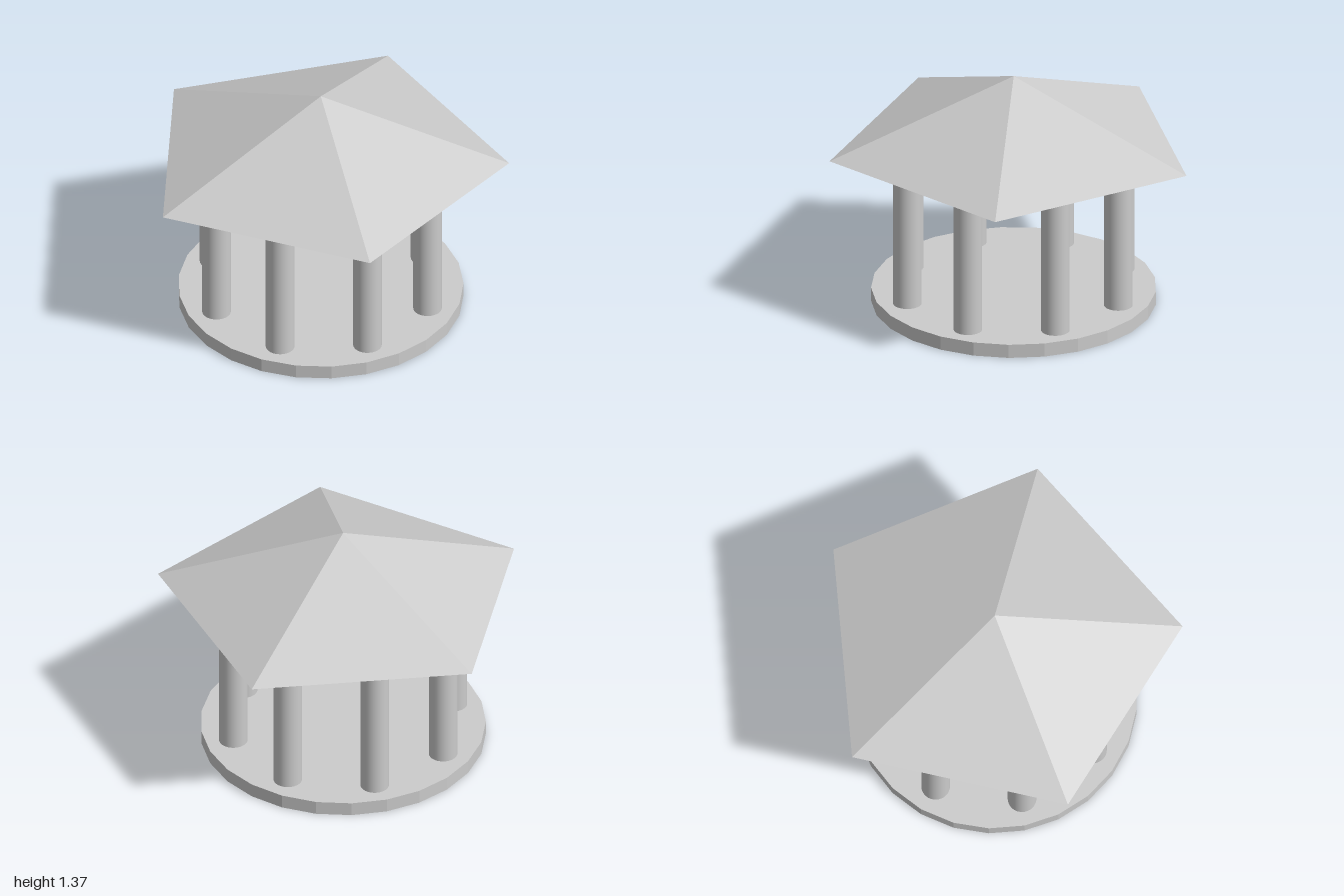
import * as THREE from 'three';

export function createModel() {
  const model = new THREE.Group();
  const smooth = new THREE.MeshStandardMaterial({ color: 0xcccccc });
  const faceted = new THREE.MeshStandardMaterial({ color: 0xcccccc, flatShading: true });

  const axisZ = 0.1; // the shared vertical axis sits slightly forward
  const baseTop = 0.08, eaves = 0.945, apex = 1.365;

  function add(name, geometry, material, x, y, z) {
    const mesh = new THREE.Mesh(geometry, material);
    mesh.name = name;
    mesh.position.set(x, y, z);
    model.add(mesh);
  }

  // Round faceted floor slab
  add('base', new THREE.CylinderGeometry(0.796, 0.796, baseTop, 25, 1, false, -Math.PI / 2),
    faceted, 0, baseTop / 2, axisZ);

  // Ring of eight round columns
  const columnHeight = eaves - baseTop;
  const column = new THREE.CylinderGeometry(0.08, 0.08, columnHeight, 32);
  for (let i = 0; i < 8; i++) {
    const a = (i * Math.PI) / 4;
    add(`column${i + 1}`, column, smooth,
      0.637 * Math.sin(a), baseTop + columnHeight / 2, axisZ + 0.637 * Math.cos(a));
  }

  // Five-sided pyramid roof, one corner to the back and a straight edge in front
  add('roof', new THREE.ConeGeometry(1.0515, apex - eaves, 5, 1, false, Math.PI),
    faceted, 0, (apex + eaves) / 2, axisZ);

  return model;
}
